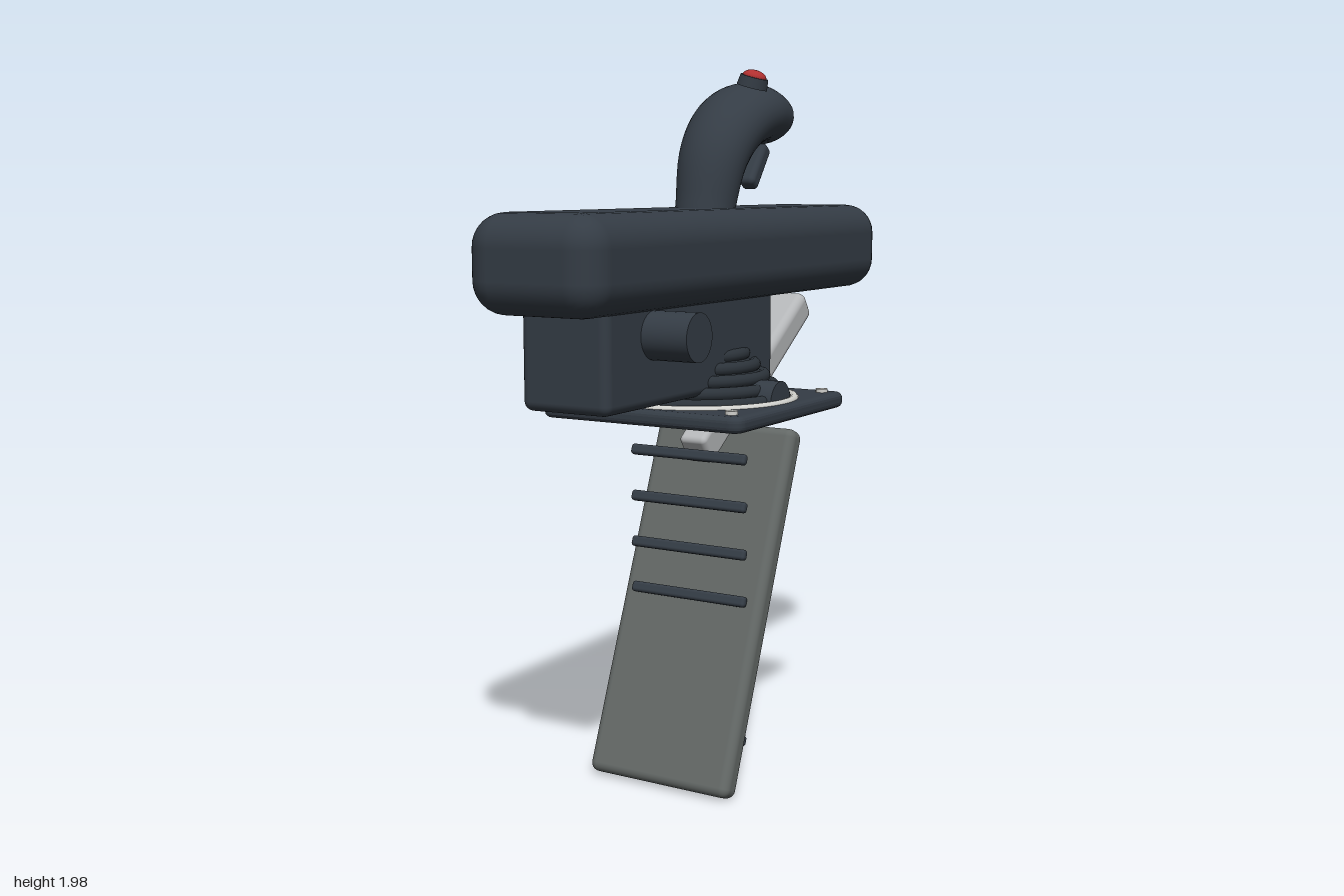
import * as THREE from 'three';
import { RoundedBoxGeometry } from 'three/addons/geometries/RoundedBoxGeometry.js';

const material = (name, color, side = THREE.FrontSide) => {
  const m = new THREE.MeshStandardMaterial({ color, side });
  m.name = name;
  return m;
};

// Swept grip with elliptical sections; each row is [z, y, depth radius, width radius]
function gripGeometry(rows, steps = 40, sides = 32) {
  const path = new THREE.CatmullRomCurve3(rows.map(([z, y]) => new THREE.Vector3(0, y, z)));
  const radii = new THREE.CatmullRomCurve3(rows.map((r) => new THREE.Vector3(r[2], r[3], 0)));
  const positions = [];
  const index = [];
  for (let i = 0; i <= steps; i++) {
    const c = path.getPoint(i / steps);
    const t = path.getTangent(i / steps);
    const r = radii.getPoint(i / steps);
    for (let j = 0; j < sides; j++) {
      const a = (j / sides) * Math.PI * 2;
      const d = r.x * Math.sin(a);
      positions.push(r.y * Math.cos(a), c.y - t.z * d, c.z + t.y * d);
      if (i === steps) continue;
      const p = i * sides + j;
      const q = i * sides + ((j + 1) % sides);
      index.push(p, p + sides, q, q, p + sides, q + sides);
    }
  }
  const g = new THREE.BufferGeometry();
  g.setAttribute('position', new THREE.Float32BufferAttribute(positions, 3));
  g.setIndex(index);
  g.computeVertexNormals();
  return g;
}

export function createModel() {
  const model = new THREE.Group();
  model.name = 'controlStick';

  const dark = material('darkPlastic', 0x343c45);
  const rubber = material('darkRubber', 0x2c333a, THREE.DoubleSide);
  const grey = material('pedalGrey', 0x636866);
  const silver = material('silver', 0xb4b6b8);
  const pale = material('paleMetal', 0xd2d2ce);
  const red = material('red', 0xb03030);

  const add = (name, geometry, mat, x, y, z, rx = 0, rz = 0, parent = model) => {
    const mesh = new THREE.Mesh(geometry, mat);
    mesh.name = name;
    mesh.position.set(x, y, z);
    mesh.rotation.set(rx, 0, rz);
    parent.add(mesh);
    return mesh;
  };
  const box = (w, h, d, r) => new RoundedBoxGeometry(w, h, d, 4, r);

  // Armrest and the housing below it
  add('armrest', box(0.39, 0.25, 1.59, 0.085), dark, 0, 1.485, 0);
  add('housing', box(0.26, 0.27, 0.85, 0.025), dark, 0, 1.25, 0.215);
  add('sideKnob', new THREE.CylinderGeometry(0.063, 0.063, 0.15, 32), dark, 0.187, 1.3, 0.425, 0, Math.PI / 2);
  add('sideLight', box(0.008, 0.022, 0.05, 0.003), red, -0.133, 1.212, 0.02);

  // Curved grip
  add('grip', gripGeometry([
    [-0.035, 1.56, 0.078, 0.083],
    [-0.048, 1.614, 0.08, 0.085],
    [-0.09, 1.746, 0.086, 0.1],
    [-0.17, 1.83, 0.089, 0.112],
    [-0.275, 1.872, 0.088, 0.12],
    [-0.365, 1.864, 0.078, 0.108],
    [-0.42, 1.85, 0.052, 0.07],
    [-0.44, 1.842, 0.001, 0.001],
  ]), dark, 0, 0, 0);
  add('trigger', box(0.05, 0.145, 0.048, 0.016), dark, 0, 1.725, -0.33, -0.64);

  // Thumb button, leaning to its side
  const button = new THREE.Group();
  button.name = 'thumbButton';
  button.position.set(0.053, 1.958, -0.222);
  button.rotation.z = -0.28;
  model.add(button);
  add('buttonCollar', new THREE.CylinderGeometry(0.04, 0.044, 0.03, 32), dark, 0, 0, 0, 0, 0, button);
  const cap = add('buttonCap', new THREE.SphereGeometry(0.034, 32, 10, 0, Math.PI * 2, 0, Math.PI / 2),
    red, 0, 0.015, 0, 0, 0, button);
  cap.scale.y = 0.55;

  // Mounting plate with a round opening
  const outline = new THREE.Shape();
  const h = 0.295, c = 0.02;
  outline.moveTo(-h + c, -h);
  outline.lineTo(h - c, -h).quadraticCurveTo(h, -h, h, -h + c);
  outline.lineTo(h, h - c).quadraticCurveTo(h, h, h - c, h);
  outline.lineTo(-h + c, h).quadraticCurveTo(-h, h, -h, h - c);
  outline.lineTo(-h, -h + c).quadraticCurveTo(-h, -h, -h + c, -h);
  const hole = new THREE.Path();
  hole.absarc(0, 0, 0.265, 0, Math.PI * 2, true);
  outline.holes.push(hole);
  const plate = new THREE.ExtrudeGeometry(outline, {
    depth: 0.012, bevelSize: 0.017, bevelThickness: 0.016, bevelSegments: 4, curveSegments: 40,
  });
  add('mountingPlate', plate, dark, 0, 1.072, 0, Math.PI / 2);
  for (const x of [-0.26, 0.26]) {
    for (const z of [-0.26, 0.26]) {
      add('screw', new THREE.CylinderGeometry(0.017, 0.017, 0.014, 16), pale, x, 1.091, z);
    }
  }

  // Pale trim ring and ribbed boot
  add('trimRing', new THREE.TorusGeometry(0.273, 0.012, 12, 64), pale, 0, 1.086, 0, Math.PI / 2);
  const ribs = [[0.244, 1.093], [0.214, 1.12], [0.188, 1.149], [0.161, 1.18], [0.132, 1.211]];
  const skin = ribs.map(([r, y]) => new THREE.Vector2(r, y));
  add('bootSkin', new THREE.LatheGeometry(skin, 48), rubber, 0, 0, 0);
  for (const [r, y] of ribs) {
    add('bootRib', new THREE.TorusGeometry(r, 0.018, 12, 48), rubber, 0, y, 0, Math.PI / 2);
  }
  for (const x of [-0.225, 0.225]) {
    add('pivot', new THREE.CylinderGeometry(0.057, 0.057, 0.08, 28), dark, x, 1.09, 0, 0, Math.PI / 2);
  }

  // Slanted strut in two widths
  const slant = 0.6;
  add('strutLower', box(0.085, 0.092, 0.26, 0.015), silver, 0, 1.005, -0.1, slant);
  add('strutUpper', box(0.15, 0.092, 0.47, 0.025), silver, 0, 1.185, -0.35, slant);

  // Leaning pedal and its upright row of grip bars
  add('pedal', box(0.45, 1.04, 0.07, 0.025), grey, 0, 0.5, 0.003, -0.382);
  for (let i = 0; i < 7; i++) {
    add('gripBar', box(0.37, 0.03, 0.024, 0.009), dark, 0, 0.13 + i * 0.1333, 0.045, -0.382);
  }

  return model;
}
